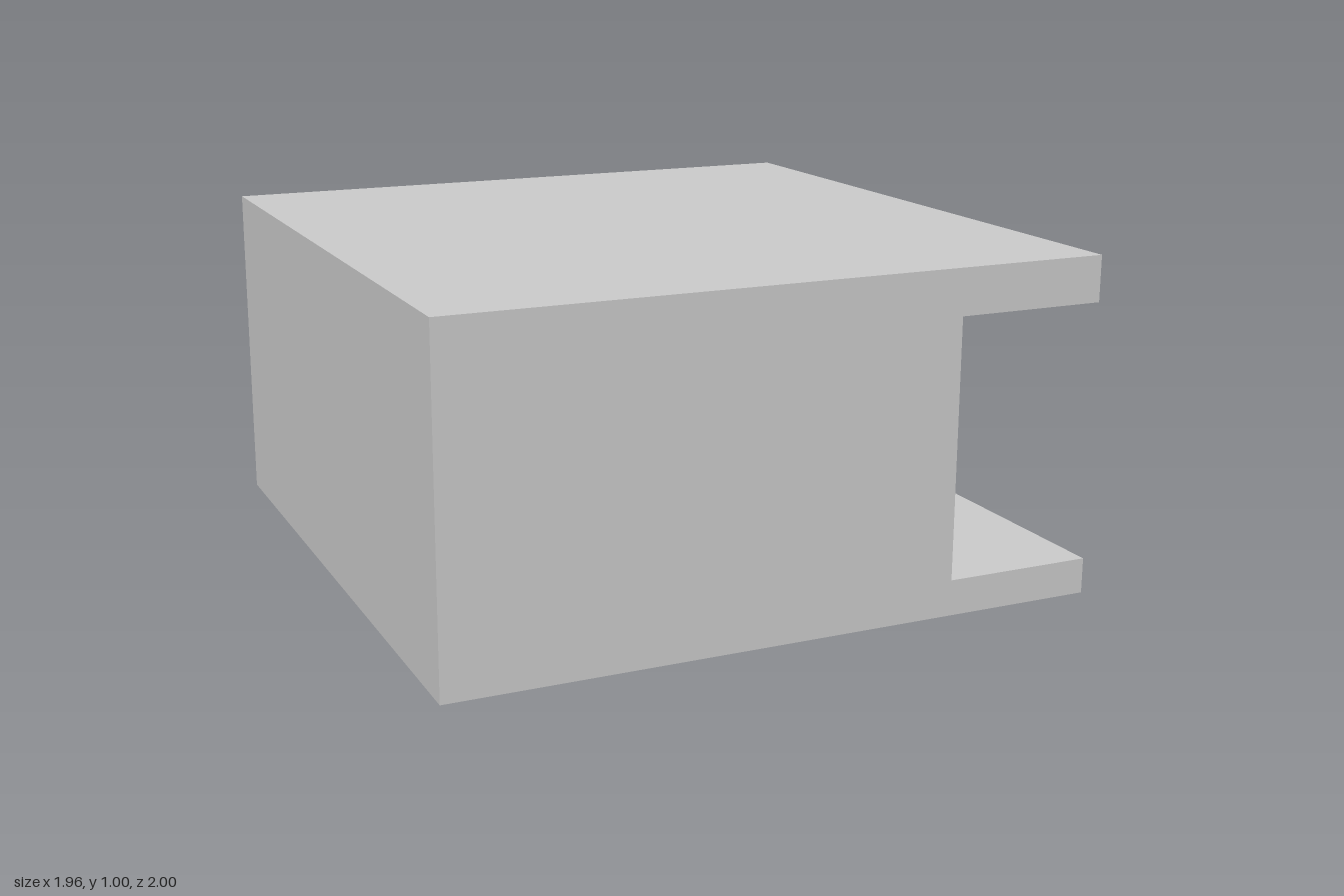
import * as THREE from 'three';

const material = new THREE.MeshStandardMaterial({ color: 0xcccccc, flatShading: true });

// Main dimensions
const HALF_X = 0.98, HALF_Z = 1, FACADE_X = 0.53;
const FLOOR = 0.105, CEILING = 0.865, HEIGHT = 1, WALL = 0.03;

// Openings in the facade: z centre, half width, bottom, top, trim width, trim projection
const openings = [
  { name: 'leftWindow', z: 0.6, half: 0.2, y0: 0.408, y1: 0.665, trim: 0.008, out: 0.02 },
  { name: 'door', z: 0, half: 0.144, y0: 0.135, y1: 0.737, trim: 0.02, trimY: 0.009, out: 0.026 },
  { name: 'rightWindow', z: -0.6, half: 0.2, y0: 0.408, y1: 0.665, trim: 0.008, out: 0.02 },
];

function box(name, x0, x1, y0, y1, z0, z1) {
  const mesh = new THREE.Mesh(new THREE.BoxGeometry(x1 - x0, y1 - y0, z1 - z0), material);
  mesh.position.set((x0 + x1) / 2, (y0 + y1) / 2, (z0 + z1) / 2);
  mesh.name = name;
  return mesh;
}

function rectangle(target, u0, u1, v0, v1) {
  target.moveTo(u0, v0);
  target.lineTo(u1, v0);
  target.lineTo(u1, v1);
  target.lineTo(u0, v1);
  target.closePath();
  return target;
}

// Panel drawn in (-z, y) and extruded along +x
function panel(name, shape, x0, x1) {
  const geometry = new THREE.ExtrudeGeometry(shape, { depth: x1 - x0, bevelEnabled: false });
  geometry.rotateY(Math.PI / 2);
  geometry.translate(x0, 0, 0);
  const mesh = new THREE.Mesh(geometry, material);
  mesh.name = name;
  return mesh;
}

function openingPath(o) {
  return rectangle(new THREE.Path(), -o.z - o.half, -o.z + o.half, o.y0, o.y1);
}

export function createModel() {
  const house = new THREE.Group();
  house.name = 'house';

  // Floor and roof slabs, both reaching out over the porch
  house.add(box('floorSlab', -HALF_X, HALF_X, 0, FLOOR, -HALF_Z, HALF_Z));
  house.add(box('roofSlab', -HALF_X, HALF_X, CEILING, HEIGHT, -HALF_Z, HALF_Z));

  // Closed walls around the room
  house.add(box('rearWall', -HALF_X, -HALF_X + WALL, FLOOR, CEILING, -HALF_Z, HALF_Z));
  for (const [name, side] of [['leftEndWall', 1], ['rightEndWall', -1]]) {
    const z = side * (HALF_Z - WALL / 2);
    house.add(box(name, -HALF_X + WALL, FACADE_X, FLOOR, CEILING, z - WALL / 2, z + WALL / 2));
  }

  // Porch facade with open door and windows
  const inner = HALF_Z - WALL;
  const facade = rectangle(new THREE.Shape(), -inner, inner, FLOOR, CEILING);
  for (const o of openings) facade.holes.push(openingPath(o));
  house.add(panel('facade', facade, FACADE_X - WALL, FACADE_X));

  // Raised trim around each opening
  for (const o of openings) {
    const w = o.half + o.trim, h = o.trimY ?? o.trim;
    const trim = rectangle(new THREE.Shape(), -o.z - w, -o.z + w, o.y0 - h, o.y1 + h);
    trim.holes.push(openingPath(o));
    house.add(panel(o.name + 'Frame', trim, FACADE_X, FACADE_X + o.out));
  }
  return house;
}
